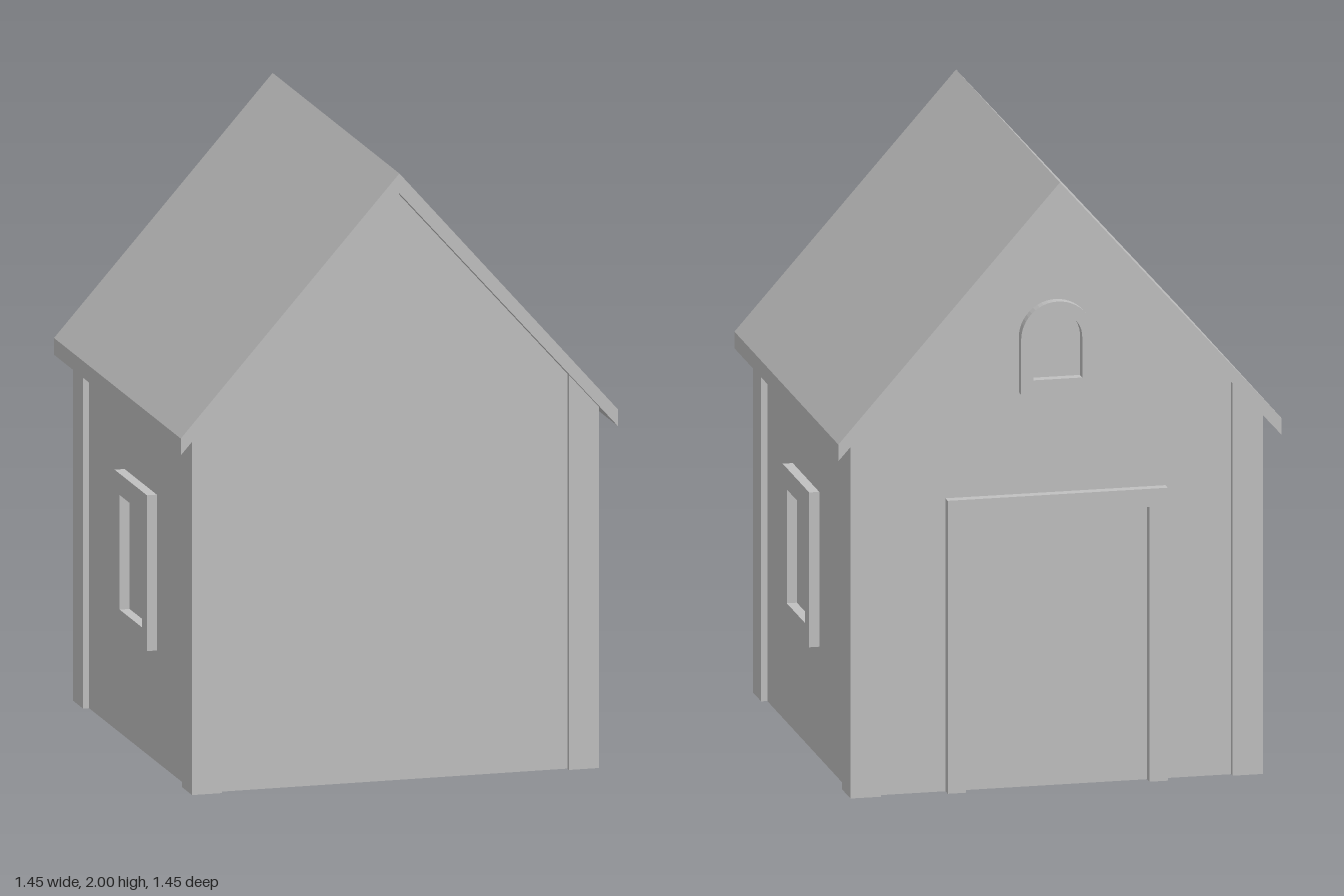
import * as THREE from 'three';

const HALF_X = 0.675, HALF_Z = 0.682;   // outer faces of the corner posts
const STEP = 0.02;                      // walls sit behind the posts
const POST_X = 0.575, POST_Z = 0.565;   // inner edges of the posts
const WALL_X = HALF_X - STEP, WALL_Z = HALF_Z - STEP;
const DEPTH = 0.033;                    // how far frames stand out
const EAVE = 0.725, RIDGE = 2, SOFFIT_RIDGE = 1.935;
const underside = (x) => SOFFIT_RIDGE - 1.117 * Math.abs(x);

const grey = new THREE.MeshStandardMaterial({ color: 0xc0c0c0, side: THREE.DoubleSide });
grey.name = 'plain grey';

function mesh(name, geometry, parent) {
  const m = new THREE.Mesh(geometry, grey);
  m.name = name;
  parent.add(m);
  return m;
}

const poly = (pts) => new THREE.Shape(pts.map(([x, y]) => new THREE.Vector2(x, y)));
const rect = (cx, hw, y0, y1) => poly([[cx - hw, y0], [cx + hw, y0], [cx + hw, y1], [cx - hw, y1]]);

function arch(r, y0, spring) {
  const s = new THREE.Shape();
  s.moveTo(-r, y0);
  s.lineTo(r, y0);
  s.lineTo(r, spring);
  s.absarc(0, spring, r, 0, Math.PI, false);
  s.lineTo(-r, y0);
  return s;
}

// Raised frame with an open back and open foot, like a folded shell
function raised(shape) {
  const g = new THREE.ExtrudeGeometry(shape, { depth: DEPTH, bevelEnabled: false, curveSegments: 12 });
  const p = g.attributes.position, kept = [];
  for (let i = 0; i < p.count; i += 3) {
    const t = [i, i + 1, i + 2];
    if (t.every((k) => Math.abs(p.getZ(k)) < 1e-5) || t.every((k) => Math.abs(p.getY(k)) < 1e-5)) continue;
    t.forEach((k) => kept.push(p.getX(k), p.getY(k), p.getZ(k)));
  }
  const out = new THREE.BufferGeometry();
  out.setAttribute('position', new THREE.Float32BufferAttribute(kept, 3));
  out.computeVertexNormals();
  return out;
}

// Framed opening: cuts the wall, adds the frame and the recessed pane
function framed(name, wallShape, outer, inner, parent) {
  wallShape.holes.push(outer);
  mesh(name + 'Pane', new THREE.ShapeGeometry(inner, 12), parent);
  const frame = outer.clone();
  frame.holes.push(inner);
  mesh(name + 'Frame', raised(frame), parent);
}

// Corner post: a folded strip whose top follows the roof slope
function cornerPost(sx, sz) {
  const plan = [[POST_X, WALL_Z], [POST_X, HALF_Z], [HALF_X, HALF_Z], [HALF_X, POST_Z], [WALL_X, POST_Z]];
  const v = [];
  for (let i = 0; i < plan.length - 1; i++) {
    const [a, b] = sx * sz > 0 ? [plan[i], plan[i + 1]] : [plan[i + 1], plan[i]];
    const P = ([x, z], top) => [x * sx, top ? underside(x) : 0, z * sz];
    v.push(...P(a), ...P(b), ...P(b, 1), ...P(a), ...P(b, 1), ...P(a, 1));
  }
  const g = new THREE.BufferGeometry();
  g.setAttribute('position', new THREE.Float32BufferAttribute(v, 3));
  g.computeVertexNormals();
  return g;
}

export function createModel() {
  const house = new THREE.Group();
  house.name = 'house';

  const wallGroup = (name, x, z, turn) => {
    const g = new THREE.Group();
    g.name = name;
    g.position.set(x, 0, z);
    g.rotation.y = turn;
    house.add(g);
    return g;
  };
  const gableTop = [[POST_X, 0], [POST_X, underside(POST_X)], [0, SOFFIT_RIDGE], [-POST_X, underside(POST_X)], [-POST_X, 0]];

  // Plain front gable
  const front = wallGroup('frontWall', 0, WALL_Z, 0);
  mesh('frontPanel', new THREE.ShapeGeometry(poly(gableTop)), front);

  // Back gable with doorway and arched attic window
  const back = wallGroup('backWall', 0, -WALL_Z, Math.PI);
  const w = 0.36, h = 0.965, t = 0.06;
  const backShape = poly([...gableTop, [-w, 0], [-w, h], [w, h], [w, 0]]);
  framed('atticWindow', backShape, arch(0.12, 1.3, 1.48), arch(0.08, 1.345, 1.48), back);
  mesh('backPanel', new THREE.ShapeGeometry(backShape, 12), back);
  mesh('doorPanel', new THREE.ShapeGeometry(rect(0, w - t, 0, h - t)), back);
  mesh('doorFrame', raised(poly([
    [-w, 0], [t - w, 0], [t - w, h - t], [w - t, h - t], [w - t, 0], [w, 0], [w, h], [-w, h],
  ])), back);

  // Side walls with one framed window each
  for (const s of [1, -1]) {
    const side = wallGroup(s > 0 ? 'leftWall' : 'rightWall', s * WALL_X, 0, s * Math.PI / 2);
    const shape = rect(0, POST_Z, 0, underside(WALL_X));
    const c = -s * 0.025;
    framed('window', shape, rect(c, 0.185, 0.365, 0.875), rect(c, 0.127, 0.43, 0.805), side);
    mesh('sidePanel', new THREE.ShapeGeometry(shape), side);
  }

  // Corner posts
  for (const sx of [1, -1]) for (const sz of [1, -1]) mesh('cornerPost', cornerPost(sx, sz), house);

  // Pitched roof slab
  const roof = new THREE.ExtrudeGeometry(poly([
    [-EAVE, underside(EAVE)], [0, SOFFIT_RIDGE], [EAVE, underside(EAVE)], [EAVE, 1.18], [0, RIDGE], [-EAVE, 1.18],
  ]), { depth: 2 * EAVE, bevelEnabled: false });
  roof.translate(0, 0, -EAVE);
  mesh('roof', roof, house);

  return house;
}
